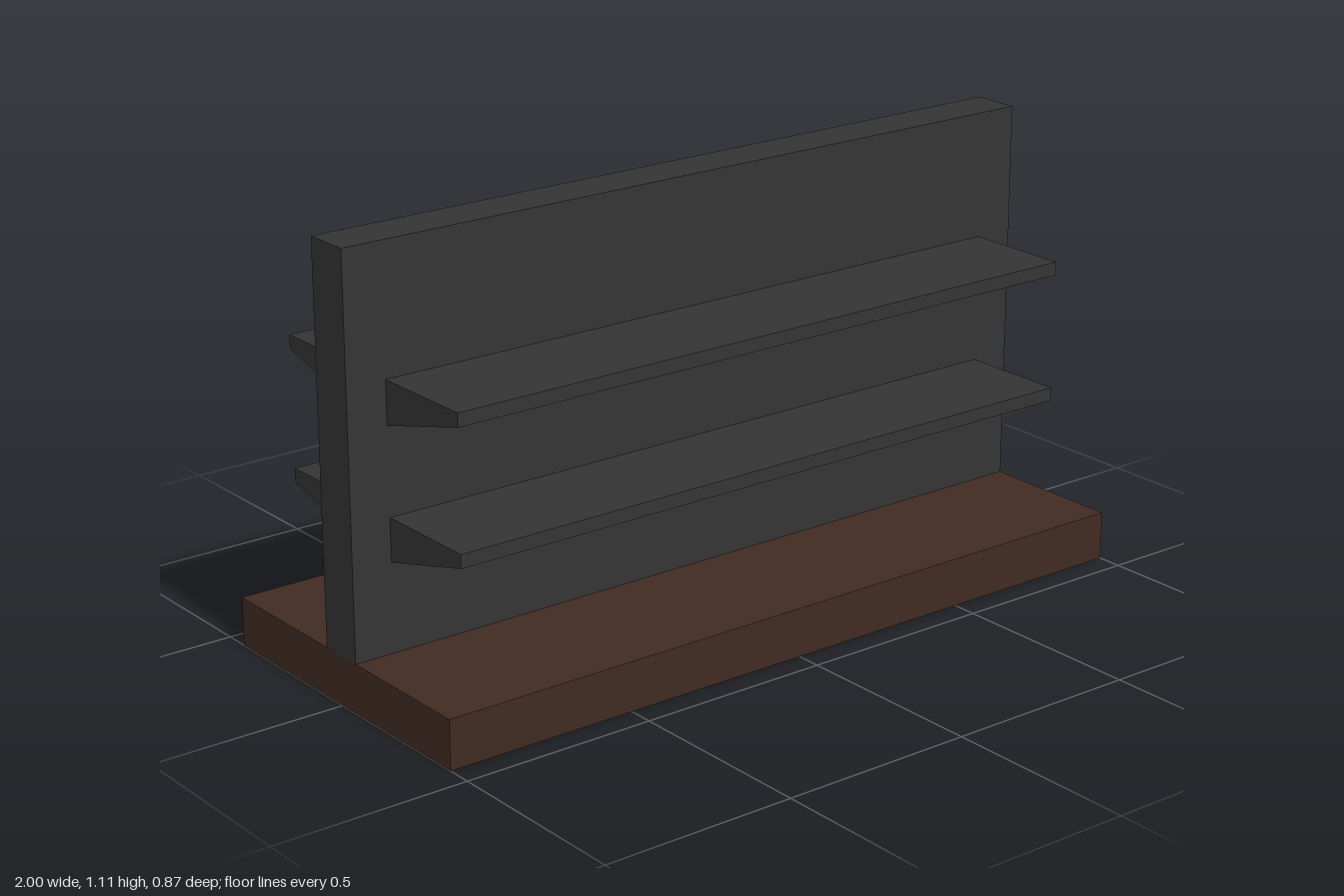
import * as THREE from 'three';

export function createModel() {
  const group = new THREE.Group();
  const charcoal = new THREE.MeshStandardMaterial({ color: 0x343434 });
  charcoal.name = 'charcoal';
  const brown = new THREE.MeshStandardMaterial({ color: 0x402b22 });
  brown.name = 'darkBrown';

  function add(name, geometry, material, y) {
    const mesh = new THREE.Mesh(geometry, material);
    mesh.name = name;
    mesh.position.y = y;
    group.add(mesh);
    return mesh;
  }

  // Plinth and upright panel
  const baseHeight = 0.124, totalHeight = 1.108, panelDepth = 0.122;
  const panelHeight = totalHeight - baseHeight;
  add('base', new THREE.BoxGeometry(2, baseHeight, 0.872), brown, baseHeight / 2);
  add('panel', new THREE.BoxGeometry(2, panelHeight, panelDepth), charcoal, baseHeight + panelHeight / 2);

  // Tapered shelf: side profile (depth, height) extruded along the width
  const root = panelDepth / 2, tip = 0.342, width = 1.792;
  const profile = new THREE.Shape([
    new THREE.Vector2(root, -0.109),
    new THREE.Vector2(tip, -0.034),
    new THREE.Vector2(tip, 0),
    new THREE.Vector2(root, 0),
  ]);
  const shelf = new THREE.ExtrudeGeometry(profile, { depth: width, bevelEnabled: false });
  shelf.translate(0, 0, -width / 2).rotateY(-Math.PI / 2);

  // Two shelves on each face of the panel
  for (const [level, top] of [['lower', 0.456], ['upper', 0.785]]) {
    add(level + 'FrontShelf', shelf, charcoal, top);
    add(level + 'BackShelf', shelf, charcoal, top).rotation.y = Math.PI;
  }
  return group;
}
